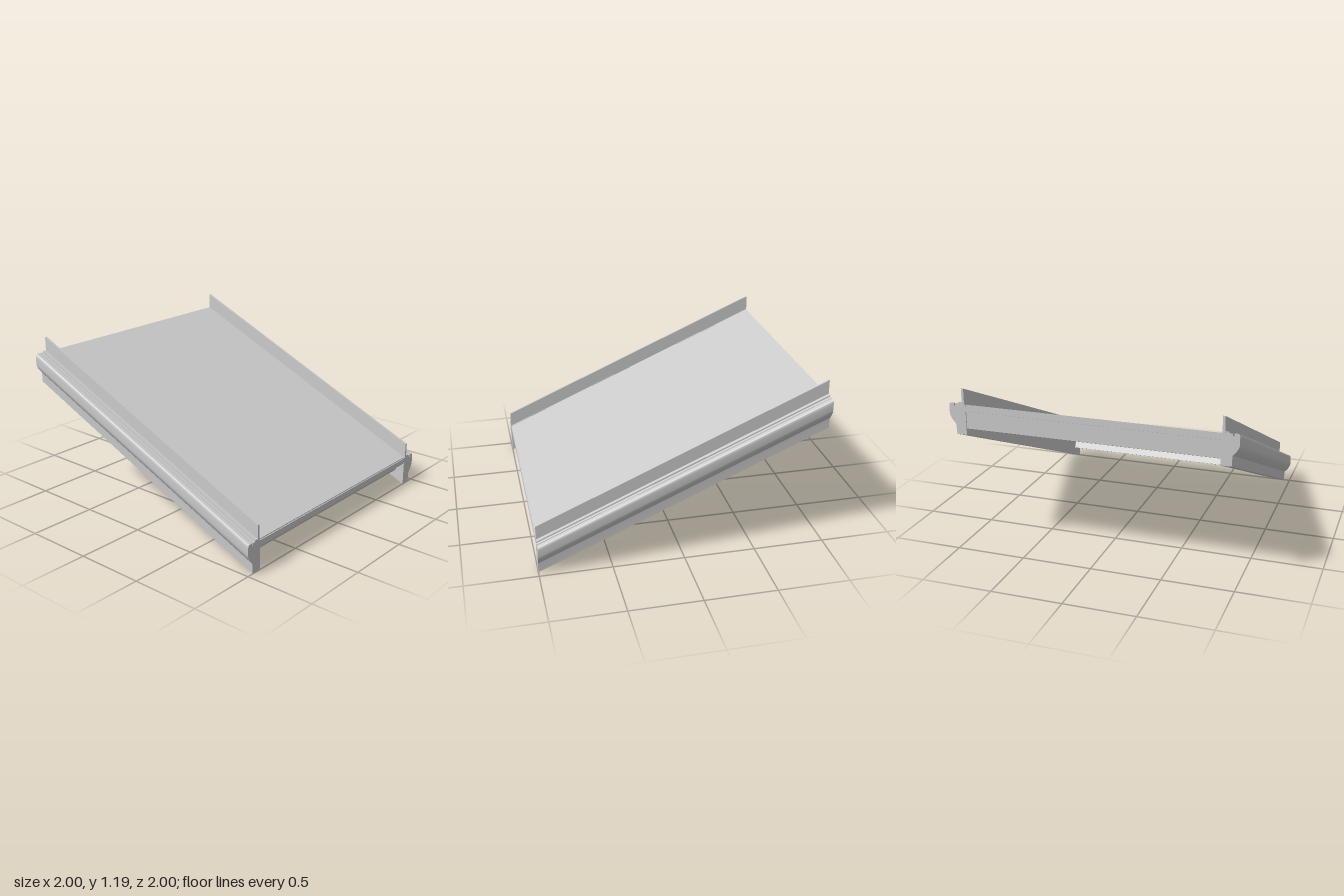
import * as THREE from 'three';
import { toCreasedNormals } from 'three/addons/utils/BufferGeometryUtils.js';

const SLOPE = 0.4325;
const material = new THREE.MeshStandardMaterial({ color: 0xcccccc, side: THREE.DoubleSide });

// Sweeps a z/y section along x from x0 to x1, then shears it down the slope.
// Section heights are those at the low end (x = 1); lean pulls low points inward.
function slopedPart(name, shape, x0, x1, lean = 0) {
  const geo = new THREE.ExtrudeGeometry(shape, { depth: x1 - x0, bevelEnabled: false, curveSegments: 8 });
  geo.rotateY(Math.PI / 2);
  geo.translate(x0, 0, 0);
  const p = geo.attributes.position;
  for (let i = 0; i < p.count; i++) {
    const x = p.getX(i) - lean * (0.22 - p.getY(i));
    p.setXYZ(i, x, p.getY(i) + SLOPE * (1 - x), p.getZ(i));
  }
  const mesh = new THREE.Mesh(toCreasedNormals(geo, 0.5), material);
  mesh.name = name;
  return mesh;
}

function rectangle(z0, z1, y0, y1) {
  return new THREE.Shape([[z0, y0], [z1, y0], [z1, y1], [z0, y1]].map(([z, y]) => new THREE.Vector2(-z, y)));
}

// Moulded side rail: square foot, flared outer face, rounded lip and top groove
function railSection(s) {
  const sh = new THREE.Shape();
  const line = (z, y) => sh.lineTo(-s * z, y);
  sh.moveTo(-s * 0.88, 0.003);
  line(0.953, 0.003);
  line(0.955, 0.05);
  line(0.957, 0.077);
  sh.bezierCurveTo(-s * 0.972, 0.09, -s * 0.999, 0.125, -s * 1.0, 0.15);
  line(1.0, 0.2);
  sh.quadraticCurveTo(-s * 1.0, 0.224, -s * 0.985, 0.224);
  line(0.963, 0.224);
  line(0.963, 0.205);
  line(0.955, 0.205);
  line(0.955, 0.222);
  line(0.932, 0.222);
  line(0.932, 0.232);
  line(0.906, 0.232);
  line(0.906, 0.22);
  line(0.88, 0.22);
  sh.closePath();
  return sh;
}

export function createModel() {
  const group = new THREE.Group();
  group.name = 'slopedRoofPanel';

  // Rails and upright flashing on both sides
  for (const [s, side] of [[1, 'front'], [-1, 'back']]) {
    group.add(slopedPart(side + 'Rail', railSection(s), -1, 1));
    group.add(slopedPart(side + 'Flashing', rectangle(s * 0.888, s * 0.905, 0.21, 0.33), -1, 1));
  }

  // Roof deck between the rails
  group.add(slopedPart('deck', rectangle(-0.885, 0.885, 0.19, 0.219), -0.998, 0.993));

  // End boards; the low one leans square to the slope
  group.add(slopedPart('lowEndTrim', rectangle(-0.88, 0.88, 0.172, 0.212), 0.965, 0.998));
  group.add(slopedPart('lowEndBoard', rectangle(-0.88, 0.88, 0.065, 0.2), 0.96, 0.992, SLOPE));
  group.add(slopedPart('highEndBoard', rectangle(-0.88, 0.88, 0.05, 0.2), -0.992, -0.96));
  group.add(slopedPart('highEndTrim', rectangle(-0.88, 0.88, 0.172, 0.212), -0.998, -0.965));

  return group;
}
